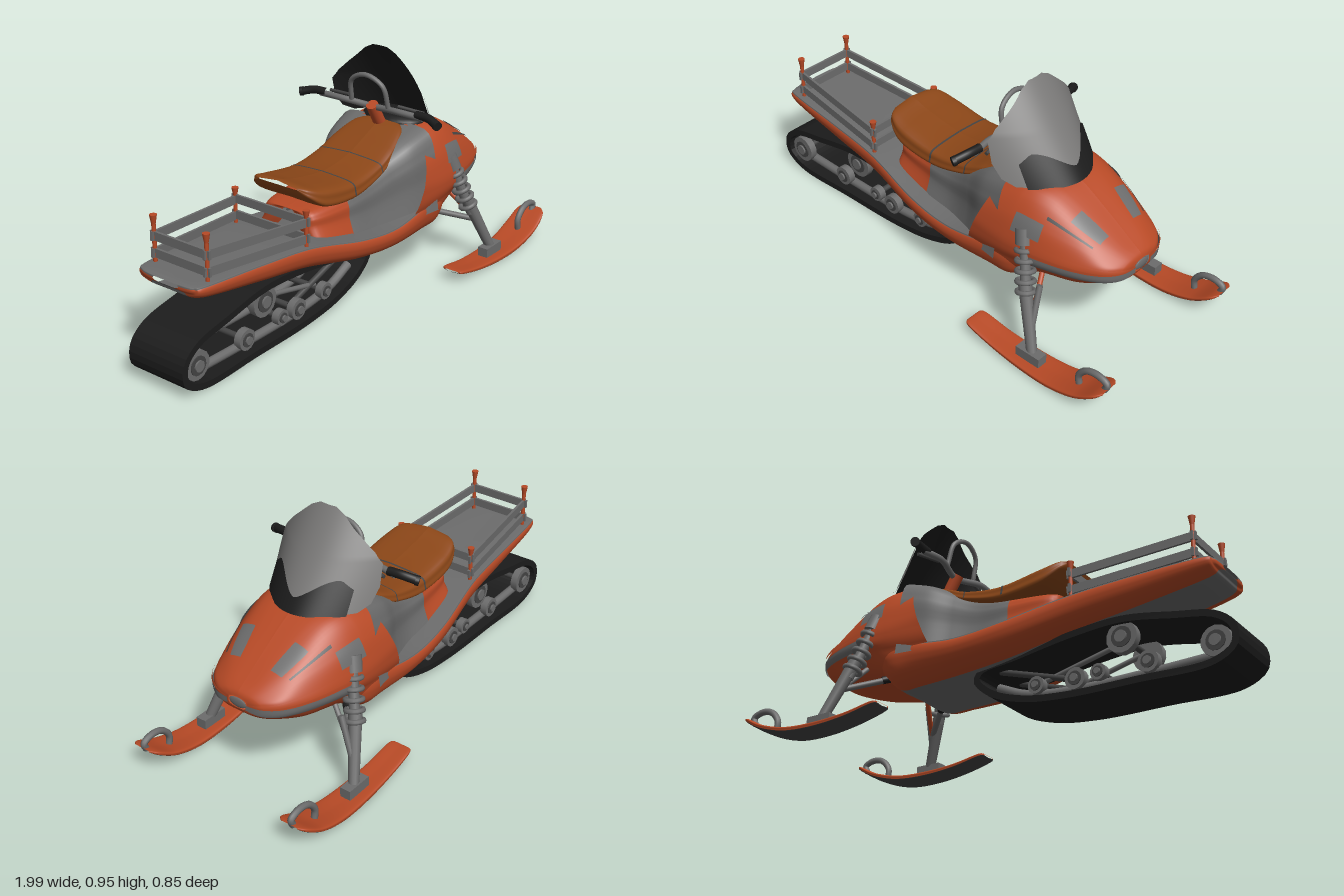
import * as THREE from 'three';

const mat = (name, color, side = THREE.FrontSide) => Object.assign(new THREE.MeshStandardMaterial({ color, side }), { name });
const V = (x, y, z) => new THREE.Vector3(x, y, z);

// Catmull-Rom blend
const cr = (a, b, c, d, t) =>
  b + 0.5 * t * (c - a + t * (2 * a - 5 * b + 4 * c - d + t * (3 * (b - c) + d - a)));

// Half surface through stations { x, shear, pts: [[z, y], ...] }: u runs along x, v up the profile
function loft(stations) {
  const n = stations.length, m = stations[0].pts.length;
  const at = (i, j) => {
    const s = stations[Math.min(Math.max(i, 0), n - 1)];
    const [z, y] = s.pts[Math.min(Math.max(j, 0), m - 1)];
    return [s.x + (s.shear || 0) * (y - 0.3), y, z];
  };
  return (u, v) => {
    u = Math.min(Math.max(u, 0), n - 1); v = Math.min(Math.max(v, 0), m - 1);
    const i = Math.min(Math.floor(u), n - 2), j = Math.min(Math.floor(v), m - 2);
    const row = (k, c) => cr(at(k, j - 1)[c], at(k, j)[c], at(k, j + 1)[c], at(k, j + 2)[c], v - j);
    return V(...[0, 1, 2].map(c => cr(row(i - 1, c), row(i, c), row(i + 1, c), row(i + 2, c), u - i)));
  };
}

// Grid over part of a surface, pushed out by off; sign -1 mirrors in z, flip turns the face over
function patch(f, [u0, u1], [v0, v1], nu, nv, { off = 0, sign = 1, flip = false } = {}) {
  const pos = [], nor = [], idx = [], e = 0.01;
  for (let i = 0; i <= nu; i++) for (let j = 0; j <= nv; j++) {
    const u = u0 + (u1 - u0) * i / nu, v = v0 + (v1 - v0) * j / nv, p = f(u, v);
    const n = f(u + e, v).sub(f(u - e, v)).cross(f(u, v + e).sub(f(u, v - e))).normalize();
    p.addScaledVector(n, off);
    if (flip) n.negate();
    pos.push(p.x, p.y, p.z * sign); nor.push(n.x, n.y, n.z * sign);
    if (i < nu && j < nv) {
      const a = i * (nv + 1) + j, b = a + nv + 1;
      if ((sign < 0) !== flip) idx.push(a, b + 1, b, a, a + 1, b + 1);
      else idx.push(a, b, b + 1, a, b + 1, a + 1);
    }
  }
  const g = new THREE.BufferGeometry();
  g.setAttribute('position', new THREE.Float32BufferAttribute(pos, 3));
  g.setAttribute('normal', new THREE.Float32BufferAttribute(nor, 3));
  g.setIndex(idx);
  return g;
}

export function createModel() {
  const orange = mat('orange paint', 0xb84a26), brown = mat('brown seat', 0x8c4718);
  const grey = mat('grey plastic', 0x6c6c6c, THREE.DoubleSide), glass = mat('windscreen grey', 0x7a7978);
  const dark = mat('dark grey', 0x444444), black = mat('black rubber', 0x1c1c1c);
  const model = new THREE.Group();
  const add = (name, geo, m, parent = model) => {
    const mesh = new THREE.Mesh(geo, m);
    mesh.name = name; parent.add(mesh);
    return mesh;
  };
  const both = (name, f, us, vs, nu, nv, m, off = 0, parent = model) =>
    [1, -1].forEach(sign => add(name, patch(f, us, vs, nu, nv, { off, sign }), m, parent));
  const rod = (name, a, b, r, m, parent = model, r2 = r) => {
    const d = b.clone().sub(a), mesh = add(name, new THREE.CylinderGeometry(r2, r, d.length(), 14), m, parent);
    mesh.position.copy(a).add(b).multiplyScalar(0.5);
    mesh.quaternion.setFromUnitVectors(V(0, 1, 0), d.normalize());
    return mesh;
  };
  const tube = (name, pts, r, m, parent = model) =>
    add(name, new THREE.TubeGeometry(new THREE.CatmullRomCurve3(pts), 32, r, 10), m, parent);

  // Lower hull with flat deck
  const hull = loft([
    [-0.925, 0.4, 0.41, 0.06], [-0.915, 0.39, 0.413, 0.125], [-0.87, 0.36, 0.415, 0.152], [-0.6, 0.315, 0.4, 0.178],
    [-0.36, 0.28, 0.378, 0.2], [-0.1, 0.225, 0.325, 0.242], [0.1, 0.202, 0.305, 0.255],
    [0.3, 0.195, 0.33, 0.252], [0.41, 0.2, 0.34, 0.245], [0.5, 0.28, 0.35, 0.2],
  ].map(([x, b, t, w]) => ({ x, pts: [[0, b], [0.6 * w, b], [0.9 * w, b + 0.25 * (t - b)], [w, b + 0.65 * (t - b)],
    [0.98 * w, t], [0.86 * w, t + 0.006], [0, t + 0.006]] })));
  both('hull side', hull, [0, 9], [1, 4], 60, 12, orange);
  both('hull belly', hull, [0, 9], [0, 1], 60, 4, grey);
  both('deck', hull, [0, 9], [4, 6], 60, 10, grey);

  // Hood
  const hood = loft([
    { x: 0.21, shear: 0.4, pts: [[0, 0.25], [0.2, 0.25], [0.25, 0.33], [0.262, 0.4], [0.26, 0.45], [0.24, 0.52], [0.2, 0.58], [0.13, 0.63], [0, 0.635]] },
    { x: 0.4, shear: 0.12, pts: [[0, 0.25], [0.2, 0.25], [0.255, 0.34], [0.267, 0.4], [0.258, 0.46], [0.235, 0.53], [0.19, 0.597], [0.13, 0.63], [0, 0.638]] },
    { x: 0.54, pts: [[0, 0.272], [0.17, 0.28], [0.245, 0.36], [0.256, 0.405], [0.245, 0.46], [0.22, 0.52], [0.17, 0.585], [0.11, 0.612], [0, 0.62]] },
    { x: 0.68, pts: [[0, 0.295], [0.15, 0.305], [0.208, 0.365], [0.218, 0.403], [0.207, 0.44], [0.18, 0.485], [0.14, 0.518], [0.08, 0.533], [0, 0.537]] },
    { x: 0.78, pts: [[0, 0.325], [0.1, 0.33], [0.158, 0.368], [0.166, 0.402], [0.16, 0.425], [0.14, 0.442], [0.1, 0.46], [0.06, 0.468], [0, 0.47]] },
    { x: 0.828, pts: [[0, 0.35], [0.06, 0.352], [0.1, 0.37], [0.106, 0.401], [0.1, 0.415], [0.085, 0.424], [0.06, 0.432], [0.03, 0.436], [0, 0.438]] },
    { x: 0.84, pts: [[0, 0.37], [0.02, 0.371], [0.04, 0.378], [0.042, 0.4], [0.04, 0.407], [0.03, 0.411], [0.02, 0.414], [0.01, 0.415], [0, 0.416]] },
  ]);
  both('hood', hood, [0, 6], [0, 8], 48, 40, orange);
  both('bumper band', hood, [1.9, 6], [2.05, 2.95], 30, 4, grey, 0.006);
  both('bumper rib', hood, [1.9, 5.9], [3.3, 3.9], 30, 3, orange, 0.008);
  both('side vent', hood, [1.1, 2.1], [4.2, 5.2], 8, 5, grey, 0.006);
  both('headlight', hood, [2.6, 3.5], [6.05, 7], 8, 6, grey, 0.004);
  both('hood slit', hood, [2.1, 3.4], [5.45, 5.6], 10, 2, dark, 0.004);
  add('nose cap', new THREE.SphereGeometry(0.04, 16, 10).scale(0.15, 0.5, 1).translate(0.838, 0.392, 0), grey);

  // Leg panels beneath the seat
  const cowl = loft([
    [-0.265, 0.38, 0.45, 0.03], [-0.26, 0.37, 0.46, 0.12], [-0.08, 0.33, 0.475, 0.15], [0.05, 0.3, 0.5, 0.16],
    [0.15, 0.3, 0.545, 0.185], [0.25, 0.3, 0.595, 0.225], [0.36, 0.3, 0.63, 0.245],
  ].map(([x, b, t, w]) => ({ x, pts: [[w + 0.02, b], [w, 0.6 * b + 0.4 * t], [0.97 * w, 0.25 * b + 0.75 * t], [0.75 * w, t], [0, t + 0.004]] })));
  both('seat base', cowl, [0, 2], [0, 4], 16, 16, orange);
  both('leg panel', cowl, [2, 6], [0, 4], 32, 16, grey);

  // Seat
  const seat = loft([
    [-0.326, 0.572, 0.578, 0.09], [-0.3, 0.535, 0.575, 0.135], [-0.22, 0.485, 0.553, 0.16], [-0.05, 0.468, 0.528, 0.162],
    [0.1, 0.5, 0.547, 0.158], [0.2, 0.545, 0.585, 0.15], [0.3, 0.59, 0.628, 0.12], [0.36, 0.62, 0.636, 0.06],
  ].map(([x, b, t, w]) => ({ x, pts: [[0, b], [0.92 * w, b], [w, (b + t) / 2], [0.85 * w, t], [0, t + 0.01]] })));
  both('seat', seat, [0, 7], [0, 4], 42, 20, brown);
  for (const u of [2.9, 4.1]) both('seat seam', seat, [u, u + 0.05], [1.5, 4], 2, 12, dark, 0.002);

  // Windscreen: bowed sheet with a dark inner face and base trim
  const rows = [[0.62, 0.2], [0.645, 0.225], [0.7, 0.235], [0.78, 0.228], [0.82, 0.2], [0.86, 0.16], [0.935, 0.075], [0.955, 0.035]];
  const bow = (y, z) => V(0.315 + 0.69 * (0.955 - y) + 0.1 * (y - 0.65) * (0.955 - y) - (2.7 + 4 * Math.max(0, 0.8 - y)) * z * z, y, z);
  const screen = (u, v) => {
    const k = Math.min(Math.max(u, 0), 7), i = Math.min(Math.floor(k), 6), t = k - i;
    return bow(rows[i][0] + (rows[i + 1][0] - rows[i][0]) * t, v * (rows[i][1] + (rows[i + 1][1] - rows[i][1]) * t));
  };
  add('windscreen', patch(screen, [0, 7], [-1, 1], 28, 24), glass);
  add('windscreen inner face', patch(screen, [0, 7], [-1, 1], 28, 24, { off: -0.005, flip: true }), black);
  const trim = (u, v) => {
    const a = Math.abs(v), top = a < 0.78 ? 0.665 + 0.07 * Math.sin(a / 0.78 * Math.PI / 2) ** 1.5 : 0.735 - 0.15 * (a - 0.78);
    return bow(0.615 + (top - 0.615) * u, 0.175 * v);
  };
  add('windscreen trim', patch(trim, [0, 1], [-1, 1], 6, 32, { off: 0.007 }), black);
  add('dashboard', new THREE.SphereGeometry(1, 24, 12).scale(0.09, 0.035, 0.14).translate(0.41, 0.63, 0), black);

  // Steering
  rod('steering column', V(0.32, 0.62, 0), V(0.26, 0.72, 0), 0.025, orange);
  tube('handlebar', [V(0.25, 0.72, -0.25), V(0.24, 0.725, -0.14), V(0.27, 0.71, 0), V(0.24, 0.725, 0.14), V(0.25, 0.72, 0.25)], 0.013, grey);
  tube('handlebar hoop', [V(0.245, 0.73, -0.09), V(0.225, 0.82, -0.075), V(0.217, 0.855, 0), V(0.225, 0.82, 0.075), V(0.245, 0.73, 0.09)], 0.01, grey);
  for (const s of [1, -1]) {
    tube('grip', [V(0.25, 0.728, 0.22 * s), V(0.245, 0.728, 0.28 * s), V(0.225, 0.715, 0.335 * s)], 0.017, black);
    rod('grip end', V(0.23, 0.717, 0.325 * s), V(0.224, 0.714, 0.338 * s), 0.019, black);
    rod('brake lever', V(0.27, 0.735, 0.12 * s), V(0.29, 0.725, 0.23 * s), 0.007, dark);
  }

  // Cargo rack
  const corner = (rear, s, y) => rear ? V(-0.845, 0.42 + y, 0.125 * s) : V(-0.37, 0.385 + y, 0.172 * s);
  const slat = (a, b) => {
    const mesh = add('rack slat', new THREE.BoxGeometry(0.01, 0.034, a.distanceTo(b) + 0.03), grey);
    mesh.position.copy(a).add(b).multiplyScalar(0.5);
    mesh.lookAt(b);
  };
  for (const h of [0.035, 0.1]) {
    for (const s of [1, -1]) slat(corner(true, s, h), corner(false, s, h - 0.005));
    for (const rear of [true, false]) slat(corner(rear, -1, h), corner(rear, 1, h));
  }
  for (const rear of [true, false]) for (const s of [1, -1]) {
    rod('rack post', corner(rear, s, -0.02), corner(rear, s, rear ? 0.15 : 0.12), 0.008, orange);
    rod('rack post cap', corner(rear, s, rear ? 0.145 : 0.115), corner(rear, s, rear ? 0.18 : 0.145), 0.008, orange, model, 0.014);
  }

  // Drive track
  const loop = new THREE.CatmullRomCurve3([[-0.9, 0.018], [-0.6, 0.015], [-0.3, 0.02], [-0.12, 0.045], [0.02, 0.1], [0.085, 0.17],
    [0.06, 0.215], [-0.1, 0.24], [-0.35, 0.275], [-0.55, 0.284], [-0.75, 0.25], [-0.92, 0.21], [-0.985, 0.15], [-0.985, 0.07]]
    .map(([x, y]) => V(x, y, 0)), true, 'centripetal');
  const outer = [], inner = [];
  for (let i = 0; i < 90; i++) {
    const p = loop.getPointAt(i / 90), t = loop.getTangentAt(i / 90);
    outer.push(new THREE.Vector2(p.x, p.y));
    inner.push(new THREE.Vector2(p.x - 0.026 * t.y, p.y + 0.026 * t.x));
  }
  const belt = new THREE.Shape(outer);
  belt.holes.push(new THREE.Path(inner));
  add('track belt', new THREE.ExtrudeGeometry(belt, { depth: 0.26, bevelEnabled: false }).translate(0, 0, -0.13), black);
  const wheels = [[-0.9, 0.11, 0.058], [-0.64, 0.095, 0.042], [-0.54, 0.21, 0.062], [-0.44, 0.1, 0.032], [-0.345, 0.095, 0.042], [-0.18, 0.105, 0.034]];
  for (const [x, y, r] of wheels) {
    rod('axle', V(x, y, -0.11), V(x, y, 0.11), 0.012, dark);
    for (const s of [1, -1]) {
      rod('track wheel', V(x, y, 0.085 * s), V(x, y, 0.115 * s), r, grey);
      rod('wheel rim', V(x, y, 0.11 * s), V(x, y, 0.119 * s), r * 0.65, dark);
      rod('wheel hub', V(x, y, 0.11 * s), V(x, y, 0.126 * s), r * 0.38, grey);
    }
  }
  for (const s of [1, -1]) {
    tube('slide rail', [V(-0.92, 0.07, 0.08 * s), V(-0.6, 0.062, 0.08 * s), V(-0.3, 0.065, 0.08 * s), V(-0.12, 0.09, 0.08 * s), V(0, 0.14, 0.08 * s)], 0.018, grey);
    rod('track strut', V(-0.54, 0.21, 0.07 * s), V(-0.2, 0.13, 0.07 * s), 0.01, grey);
    rod('track strut', V(0, 0.21, 0.07 * s), V(-0.35, 0.1, 0.07 * s), 0.012, dark);
  }

  // Skis and front suspension, built on the left and mirrored
  const ski = loft([[0.34, 0.055, 0.063, 0.03], [0.36, 0.048, 0.064, 0.048], [0.48, 0.022, 0.042, 0.054], [0.62, 0.008, 0.032, 0.06], [0.76, 0.014, 0.038, 0.066],
    [0.88, 0.048, 0.07, 0.07], [0.96, 0.092, 0.112, 0.062], [0.99, 0.114, 0.122, 0.035]]
    .map(([x, b, t, w]) => ({ x, pts: [[0, b], [0.85 * w, b + 0.003], [w, (b + t) / 2], [0.9 * w, t], [0, t]] })));
  for (const s of [1, -1]) {
    const skiGroup = new THREE.Group();
    skiGroup.name = s > 0 ? 'leftSki' : 'rightSki';
    skiGroup.position.z = 0.352 * s;
    model.add(skiGroup);
    both('ski sole', ski, [0, 7], [0, 1.6], 35, 8, dark, 0, skiGroup);
    both('ski top', ski, [0, 7], [1.6, 4], 35, 12, orange, 0, skiGroup);
    tube('ski loop', [V(0.86, 0.05, 0), V(0.855, 0.1, 0), V(0.89, 0.142, 0), V(0.94, 0.152, 0), V(0.98, 0.135, 0), V(0.97, 0.105, 0)], 0.013, grey, skiGroup);
    add('ski bracket', new THREE.BoxGeometry(0.11, 0.045, 0.045).translate(0.63, 0.05, 0), grey, skiGroup);
    const P = (x, y, z) => V(x, y, z * s);
    rod('spindle', P(0.535, 0.3, 0.285), P(0.64, 0.045, 0.355), 0.026, grey, model, 0.02);
    rod('spindle brace', P(0.585, 0.3, 0.26), P(0.605, 0.16, 0.32), 0.012, grey);
    const a = P(0.475, 0.49, 0.225), b = P(0.555, 0.23, 0.3), q = new THREE.Quaternion().setFromUnitVectors(V(0, 0, 1), b.clone().sub(a).normalize());
    rod('shock absorber', a, b, 0.02, grey);
    rod('shock mount', a, a.clone().lerp(b, 0.22), 0.036, grey);
    for (let i = 0; i < 5; i++) {
      const coil = add('spring coil', new THREE.TorusGeometry(0.032, 0.01, 8, 20), grey);
      coil.position.copy(a).lerp(b, 0.3 + 0.14 * i);
      coil.quaternion.copy(q);
    }
    rod('lower arm', P(0.4, 0.265, 0.13), P(0.585, 0.19, 0.3), 0.012, grey);
    rod('arm sleeve', P(0.41, 0.262, 0.138), P(0.47, 0.238, 0.195), 0.015, black);
    rod('steering rod', P(0.54, 0.31, 0.19), P(0.59, 0.19, 0.3), 0.01, s > 0 ? orange : grey);
  }
  return model;
}
